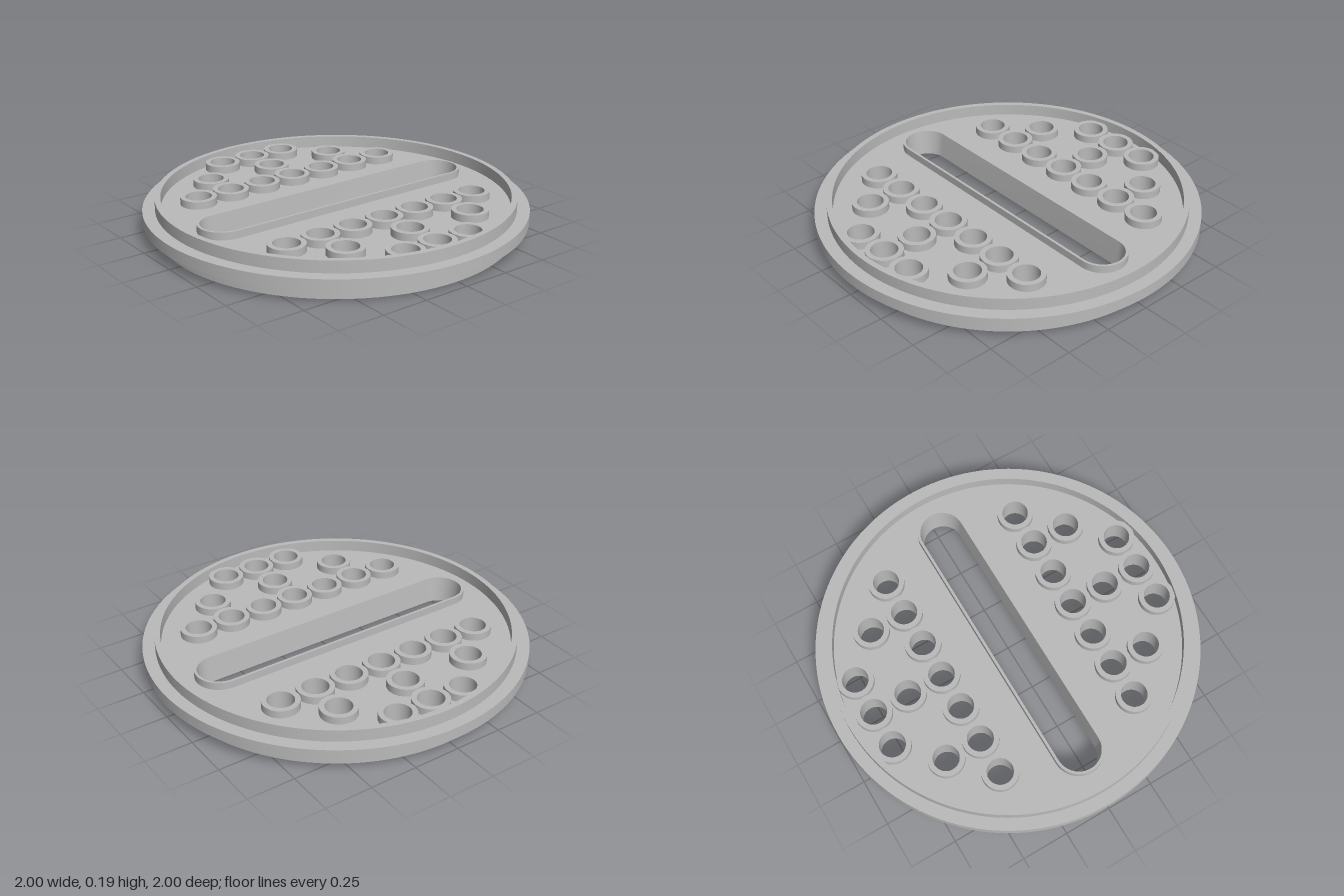
import * as THREE from 'three';
import { toCreasedNormals } from 'three/addons/utils/BufferGeometryUtils.js';

const PLATE_BOTTOM = 0.066, PLATE_TOP = 0.127; // thickness of plate and flange
const BOSS_BOTTOM = 0.027, BOSS_TOP = 0.167;   // collars stand proud on both faces
const SLOT_HALF = 0.692;                       // half length of the slot's straight part

// Closed profile [radius, y], counter-clockwise, turned about the y axis
function turned(profile, segments) {
  const points = [...profile, profile[0]].map(([r, y]) => new THREE.Vector2(r, y));
  return toCreasedNormals(new THREE.LatheGeometry(points, segments), 0.6);
}

// Outline of a long slot with rounded ends, running along z
function slotOutline(r, steps = 24) {
  const points = [];
  for (const end of [0, 1]) {
    for (let i = 0; i <= steps; i++) {
      const a = Math.PI * (end + i / steps);
      points.push([r * Math.cos(a), -r * Math.sin(a) + (end ? SLOT_HALF : -SLOT_HALF)]);
    }
  }
  return points;
}

// Closed profile [radius, y] swept around the slot outline
function slotCollar(profile) {
  const positions = [], index = [];
  const n = slotOutline(1).length;
  profile.forEach(([r, y]) => slotOutline(r).forEach(([x, z]) => positions.push(x, y, z)));
  for (let j = 0; j < profile.length; j++) {
    const k = (j + 1) % profile.length;
    for (let i = 0; i < n; i++) {
      const m = (i + 1) % n;
      const a = j * n + i, b = j * n + m, c = k * n + m, d = k * n + i;
      index.push(a, b, c, a, c, d);
    }
  }
  const geometry = new THREE.BufferGeometry();
  geometry.setAttribute('position', new THREE.Float32BufferAttribute(positions, 3));
  geometry.setIndex(index);
  return toCreasedNormals(geometry, 0.6);
}

export function createModel() {
  const group = new THREE.Group();
  const grey = new THREE.MeshStandardMaterial({ color: 0xbababa });
  grey.name = 'grey';
  const add = (name, geometry, x = 0, z = 0) => {
    const mesh = new THREE.Mesh(geometry, grey);
    mesh.name = name;
    mesh.position.set(x, 0, z);
    group.add(mesh);
  };

  // Hole layout: columns away from the slot, mirrored left and right
  const columns = [
    [0.395, [-0.592, -0.395, -0.197, 0, 0.197, 0.395, 0.592]],
    [0.592, [-0.395, 0, 0.395]],
    [0.789, [-0.197, 0, 0.197]],
  ];
  const holes = [];
  for (const side of [-1, 1]) {
    for (const [x, rows] of columns) rows.forEach((z) => holes.push([side * x, z]));
  }

  // Outer rim wall with the wider flange around its middle
  add('rimAndFlange', turned([
    [0.905, 0], [0.935, 0], [0.935, PLATE_BOTTOM], [1, PLATE_BOTTOM],
    [1, PLATE_TOP], [0.935, PLATE_TOP], [0.935, 0.19], [0.905, 0.19],
  ], 128));

  // Pierced plate; its openings end inside the collars
  const disc = new THREE.Shape().absarc(0, 0, 0.92, 0, Math.PI * 2, false);
  for (const [x, z] of holes) {
    disc.holes.push(new THREE.Path().absarc(x, -z, 0.082, 0, Math.PI * 2, true));
  }
  disc.holes.push(new THREE.Path(slotOutline(0.122).map(([x, z]) => new THREE.Vector2(x, -z)).reverse()));
  const plate = new THREE.ExtrudeGeometry(disc, {
    depth: PLATE_TOP - PLATE_BOTTOM, bevelEnabled: false, curveSegments: 48,
  });
  plate.rotateX(-Math.PI / 2).translate(0, PLATE_BOTTOM, 0);
  add('plate', plate);

  // Round collars around the holes
  const boss = turned([
    [0.068, BOSS_BOTTOM], [0.095, BOSS_BOTTOM], [0.095, BOSS_TOP], [0.068, BOSS_TOP],
  ], 40);
  for (const [x, z] of holes) add('holeCollar', boss, x, z);

  // Long central slot with slightly tapered inner walls
  add('slotCollar', slotCollar([
    [0.103, BOSS_BOTTOM], [0.13, BOSS_BOTTOM], [0.13, BOSS_TOP], [0.116, BOSS_TOP],
  ]));

  return group;
}
